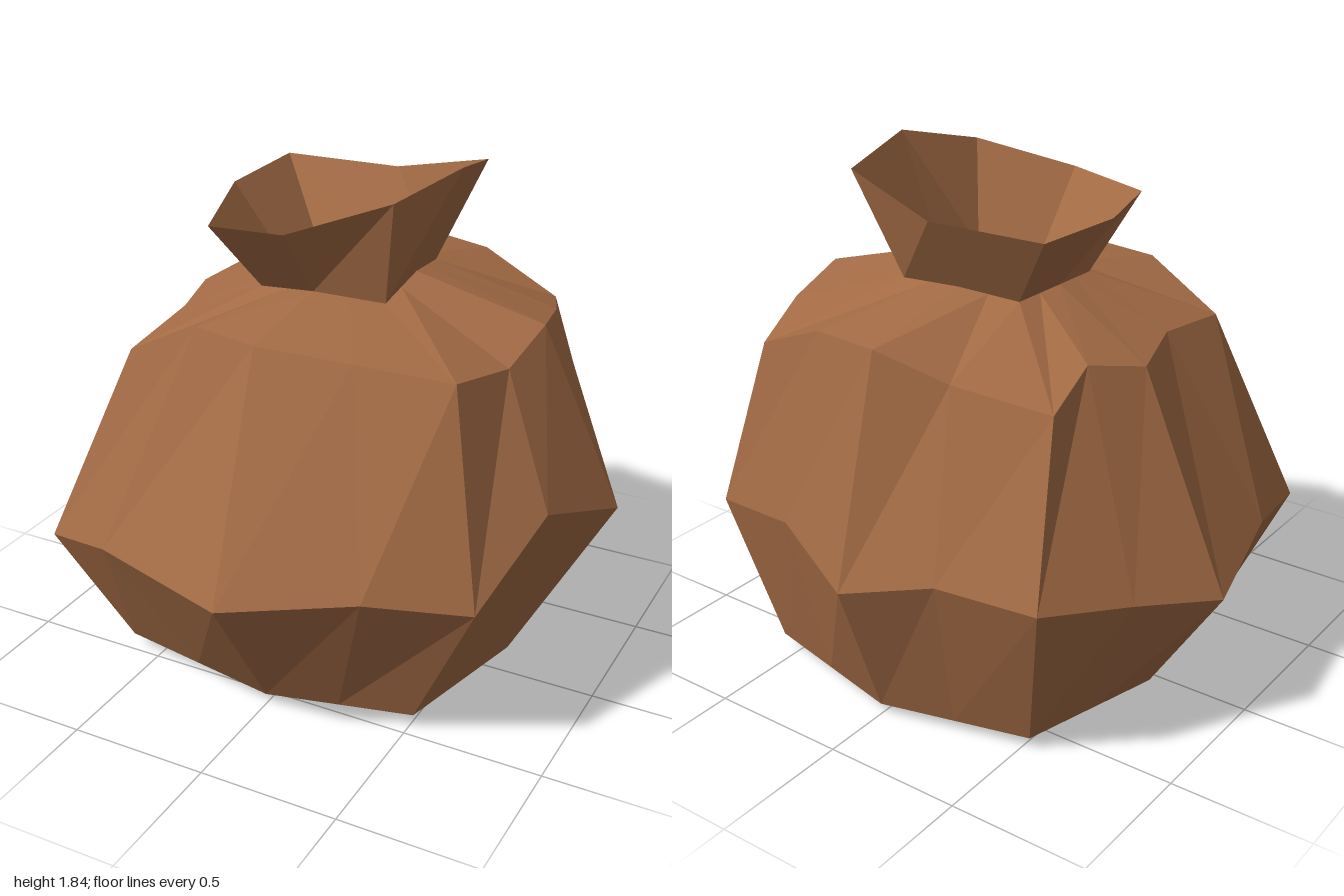
import * as THREE from 'three';

const CLOTH = 0xa36b45;
const HOLLOW = 0x150f20;

// Rings run from the front, round by +x, the back and -x; each point is [x, y, z].
const base = [
  [0, 0.04, 0.57], [0.52, 0.06, 0.47], [0.64, 0.04, -0.09], [0.57, 0.045, -0.62],
  [0, 0.04, -0.75], [-0.53, 0.045, -0.62], [-0.67, 0.04, -0.09], [-0.62, 0.045, 0.47],
];
const belly = [
  [0.05, 0.615, 0.97], [0.48, 0.67, 0.80], [0.79, 0.62, 0.62], [0.89, 0.84, 0.28],
  [1.0, 0.70, -0.12], [0.82, 0.70, -0.44], [0.73, 0.59, -0.71], [0.30, 0.69, -0.85],
  [-0.03, 0.59, -0.97], [-0.34, 0.67, -0.87], [-0.68, 0.65, -0.80], [-0.84, 0.60, -0.50],
  [-1.0, 0.54, -0.21], [-0.91, 0.61, 0.22], [-0.81, 0.51, 0.65], [-0.51, 0.59, 0.77],
];
const shoulder = [
  [-0.02, 1.355, 0.565], [0.30, 1.33, 0.50], [0.62, 1.30, 0.425], [0.69, 1.265, 0.165],
  [0.71, 1.325, -0.10], [0.65, 1.275, -0.375], [0.55, 1.21, -0.645], [0.25, 1.335, -0.70],
  [-0.02, 1.35, -0.75], [-0.24, 1.25, -0.645], [-0.57, 1.20, -0.56], [-0.55, 1.29, -0.345],
  [-0.64, 1.24, -0.14], [-0.55, 1.25, 0.14], [-0.55, 1.21, 0.48], [-0.26, 1.36, 0.52],
];
const neck = [
  [0, 1.42, 0.20], [0.24, 1.40, 0.145], [0.255, 1.45, -0.06], [0.22, 1.41, -0.30],
  [0, 1.42, -0.29], [-0.235, 1.41, -0.27], [-0.245, 1.41, -0.05], [-0.22, 1.39, 0.165],
];
const rim = [
  [0, 1.675, 0.40], [0.30, 1.77, 0.22], [0.42, 1.835, -0.05], [0.375, 1.775, -0.37],
  [0, 1.68, -0.44], [-0.43, 1.68, -0.415], [-0.44, 1.67, -0.04], [-0.305, 1.645, 0.355],
];

// Doubles the points of a ring by adding the middle of each side
function withMidpoints(ring) {
  return ring.flatMap((p, i) => {
    const q = ring[(i + 1) % ring.length];
    return [p, p.map((v, k) => (v + q[k]) / 2)];
  });
}

// Joins rings, given from bottom to top, with outward faces
function skin(rings) {
  const out = [];
  for (let r = 0; r < rings.length - 1; r++) {
    const a = rings[r], b = rings[r + 1], n = a.length;
    for (let i = 0; i < n; i++) {
      const j = (i + 1) % n;
      out.push(...a[i], ...a[j], ...b[j], ...a[i], ...b[j], ...b[i]);
    }
  }
  return out;
}

// Closes a ring with a fan round a centre point
function fan(ring, centre, up) {
  return ring.flatMap((p, i) => {
    const q = ring[(i + 1) % ring.length];
    return up ? [...centre, ...p, ...q] : [...centre, ...q, ...p];
  });
}

function makeMesh(name, points, color, side = THREE.FrontSide) {
  const geometry = new THREE.BufferGeometry();
  geometry.setAttribute('position', new THREE.Float32BufferAttribute(points, 3));
  geometry.computeVertexNormals();
  const material = new THREE.MeshStandardMaterial({ color, flatShading: true, side });
  const mesh = new THREE.Mesh(geometry, material);
  mesh.name = name;
  return mesh;
}

export function createModel() {
  const group = new THREE.Group();
  group.name = 'sack';

  // Bulging body, from the base over the shoulder to the tied neck
  const body = skin([withMidpoints(base), belly, shoulder, withMidpoints(neck)]);
  group.add(makeMesh('body', body, CLOTH));

  // Slightly rounded underside
  group.add(makeMesh('underside', fan(base, [0, 0, -0.09], false), CLOTH));

  // Open flared collar
  group.add(makeMesh('collar', skin([neck, rim]), CLOTH, THREE.DoubleSide));

  // Dark hollow seen through the neck
  group.add(makeMesh('hollow', fan(neck, [0, 1.37, -0.05], true), HOLLOW, THREE.DoubleSide));

  return group;
}
